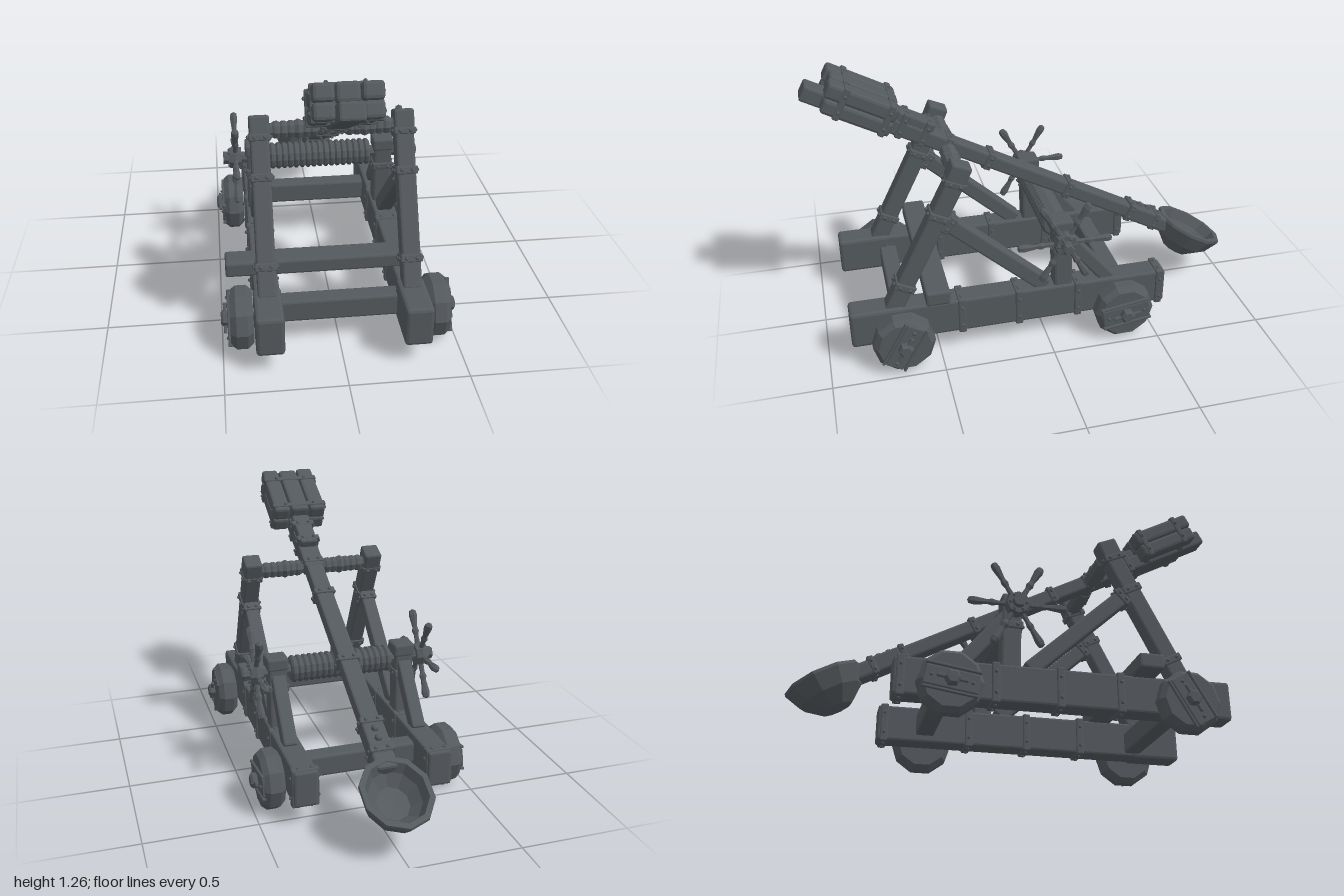
import * as THREE from 'three';
import { RoundedBoxGeometry } from 'three/addons/geometries/RoundedBoxGeometry.js';

const darkWood = new THREE.MeshStandardMaterial({ color: 0x54595d, flatShading: true });

function add(parent, name, geo, x = 0, y = 0, z = 0) {
  const m = new THREE.Mesh(geo, darkWood);
  m.name = name;
  m.position.set(x, y, z);
  parent.add(m);
  return m;
}

function group(parent, name, x = 0, y = 0, z = 0) {
  const g = new THREE.Group();
  g.name = name;
  g.position.set(x, y, z);
  parent.add(g);
  return g;
}

// Box with chamfered edges
function box(parent, name, w, h, d, x, y, z, bevel = 0.01) {
  return add(parent, name, new RoundedBoxGeometry(w, h, d, 1, bevel), x, y, z);
}

// Riveted strap around a timber that runs along z
const rivetGeo = new THREE.SphereGeometry(0.009, 6, 4);
function strap(parent, w, h, z, y = 0, width = 0.035) {
  const g = group(parent, 'strap', 0, y, z);
  box(g, 'strapBand', w + 0.014, h + 0.014, width, 0, 0, 0, 0.006);
  for (const s of [-1, 1]) for (const k of [-0.28, 0.28]) {
    add(g, 'rivet', rivetGeo, s * (w / 2 + 0.008), k * h, 0);
    add(g, 'rivet', rivetGeo, k * w, s * (h / 2 + 0.008), 0);
  }
}

// Timber between two [z, y] points, with straps at fractions of its length
function timber(parent, name, x, a, b, w, h, straps = []) {
  const dz = b[0] - a[0], dy = b[1] - a[1], len = Math.hypot(dz, dy);
  const g = group(parent, name, x, (a[1] + b[1]) / 2, (a[0] + b[0]) / 2);
  g.rotation.x = -Math.atan2(dy, dz);
  box(g, name + 'Beam', w, h, len, 0, 0, 0);
  for (const t of straps) strap(g, w, h, (t - 0.5) * len);
  return g;
}

// Turned part lying along x; profile is [radius, x] pairs
function turned(parent, name, profile, sides, x, y, z) {
  const geo = new THREE.LatheGeometry(profile.map(p => new THREE.Vector2(p[0], p[1])), sides);
  geo.rotateZ(-Math.PI / 2);
  return add(parent, name, geo, x, y, z);
}

// Rope-wound roller profile
function coil(half, rings, r, dip) {
  const p = [[0, -half]], step = 2 * half / rings;
  for (let i = 0; i < rings; i++) {
    const x = -half + i * step;
    p.push([r - dip, x], [r, x + step * 0.3], [r, x + step * 0.7]);
  }
  p.push([r - dip, half], [0, half]);
  return p;
}

function wheel(parent, name, side, z, tilt) {
  const g = group(parent, name, side * 0.418, 0.14, z);
  if (side < 0) g.rotation.y = Math.PI;
  turned(g, 'wheelDisc', [[0, -0.05], [0.115, -0.05], [0.139, -0.025], [0.139, 0.022], [0.118, 0.047], [0, 0.047]], 10, 0, 0, 0);
  const face = group(g, 'wheelFace', 0.047, 0, 0);
  face.rotation.x = tilt * side;
  box(face, 'wheelPlank', 0.014, 0.085, 0.225, 0, 0, 0, 0.005);
  for (const s of [-1, 1]) {
    box(face, 'wheelBatten', 0.018, 0.012, 0.23, 0.002, s * 0.052, 0, 0.004);
    add(face, 'rivet', rivetGeo, 0.009, 0, s * 0.085);
  }
  turned(g, 'hubNut', [[0, 0], [0.034, 0], [0.034, 0.03], [0.025, 0.04], [0, 0.04]], 6, 0.045, 0, 0);
  box(face, 'lynchPin', 0.015, 0.016, 0.13, 0.02, 0, 0, 0.004);
}

function handleWheel(parent, side) {
  const g = group(parent, 'handleWheel', side * 0.402, 0.53, -0.068);
  turned(g, 'handleHub', [[0, -0.028], [0.05, -0.028], [0.058, 0], [0.05, 0.028], [0, 0.028]], 8, 0, 0, 0);
  const profile = [[0, 0.02], [0.014, 0.02], [0.011, 0.09], [0.017, 0.11], [0.012, 0.13], [0.02, 0.19], [0.016, 0.21], [0, 0.218]];
  const spokeGeo = new THREE.LatheGeometry(profile.map(p => new THREE.Vector2(...p)), 6);
  for (let i = 0; i < 6; i++) {
    const a = Math.PI / 2 + i * Math.PI / 3;
    add(g, 'spoke', spokeGeo).rotation.x = a;
    add(g, 'rivet', rivetGeo, side * 0.028, 0.036 * Math.cos(a), 0.036 * Math.sin(a));
  }
  turned(g, 'handleNut', [[0, -0.02], [0.03, -0.02], [0.03, 0.02], [0.022, 0.03], [0, 0.03]], 6, side * 0.038, 0, 0);
}

export function createModel() {
  const model = new THREE.Group();
  model.name = 'catapult';

  // Mirrored side frames
  for (const side of [-1, 1]) {
    const f = group(model, side > 0 ? 'leftFrame' : 'rightFrame');
    const x = side * 0.306;
    timber(f, 'baseRail', x, [-0.575, 0.186], [0.895, 0.186], 0.108, 0.166, [0.02, 0.29, 0.48, 0.66]);
    box(f, 'railFrontEnd', 0.118, 0.176, 0.24, x, 0.186, 0.775, 0.014);
    timber(f, 'frontPost', x, [0.70, 0.25], [0.375, 0.90], 0.08, 0.082, [0.18, 0.69]);
    const cap = timber(f, 'postCap', x, [0.405, 0.84], [0.365, 0.935], 0.086, 0.092);
    strap(cap, 0.08, 0.084, -0.04, 0, 0.03);
    timber(f, 'longBrace', x, [0.465, 0.685], [0.0, 0.265], 0.07, 0.072, [0.07]);
    timber(f, 'winchPost', x, [-0.082, 0.25], [-0.075, 0.59], 0.085, 0.085, [0.62]);
    box(f, 'winchPostCap', 0.1, 0.06, 0.1, x, 0.575, -0.072);
    timber(f, 'shortBrace', x, [-0.09, 0.51], [-0.305, 0.255], 0.066, 0.066);
    wheel(f, 'frontWheel', side, 0.67, 1.05);
    wheel(f, 'rearWheel', side, -0.35, 0.15);
    handleWheel(f, side);

    // Rope-wound half of the upper crossbar
    const rope = turned(f, 'crossbarRope', coil(0.09, 6, 0.04, 0.006), 8, side * 0.155, 0.873, 0.383);
    rope.scale.x = 1.06;
    turned(f, 'crossbarKnot', [[0, -0.02], [0.036, -0.02], [0.046, 0], [0.036, 0.02], [0, 0.02]], 8, side * 0.14, 0.873, 0.383);
  }

  // Members that tie the two sides together
  box(model, 'frontAxleBeam', 0.56, 0.1, 0.08, 0, 0.168, 0.66);
  box(model, 'rearAxleBeam', 0.56, 0.1, 0.085, 0, 0.185, -0.355);
  box(model, 'crossBeam', 0.84, 0.068, 0.11, -0.055, 0.297, 0.5);
  turned(model, 'upperCrossbar', [[0, -0.29], [0.03, -0.29], [0.03, 0.29], [0, 0.29]], 8, 0, 0.873, 0.383);

  // Winch
  turned(model, 'winchAxle', [[0, -0.455], [0.028, -0.455], [0.028, 0.455], [0, 0.455]], 8, 0, 0.53, -0.068);
  turned(model, 'winchDrum', coil(0.24, 17, 0.063, 0.009), 12, 0, 0.53, -0.068);

  // Throwing arm; local z runs up the arm towards the weight
  const arm = group(model, 'throwingArm', 0, 0.682, 0);
  arm.rotation.x = -Math.atan(0.533);
  box(arm, 'armUpper', 0.1, 0.072, 0.72, 0, 0, 0.753);
  box(arm, 'armLower', 0.086, 0.066, 1.2, 0, 0, -0.17);
  for (const z of [0.43, 0.215, -0.21]) strap(arm, 0.088, 0.068, z);

  // Spoon collar and bowl
  box(arm, 'spoonCollar', 0.1, 0.078, 0.16, 0, 0, -0.66);
  for (const z of [-0.57, -0.72]) strap(arm, 0.094, 0.074, z, 0, 0.03);
  for (const z of [-0.62, -0.67]) add(arm, 'collarStud', new THREE.SphereGeometry(0.018, 6, 4), 0, 0.04, z);
  box(arm, 'spoonNeck', 0.1, 0.075, 0.1, 0, -0.003, -0.765, 0.014);
  const bowlProfile = [[0, -0.15], [0.06, -0.148], [0.125, -0.085], [0.155, -0.012], [0.153, 0.002],
    [0.13, 0.002], [0.112, -0.045], [0.07, -0.09], [0, -0.1]];
  const bowl = add(arm, 'spoonBowl', new THREE.LatheGeometry(bowlProfile.map(p => new THREE.Vector2(...p)), 10), 0, 0.036, -0.936);
  bowl.scale.set(1.02, 1, 1.15);

  // Bundled timbers forming the counterweight
  const weight = group(arm, 'counterweight');
  for (const s of [-1, 1]) {
    box(weight, 'upperSideLog', 0.083, 0.07, 0.32, s * 0.092, 0.08, 0.88, 0.014);
    box(weight, 'lowerSideLog', 0.083, 0.068, 0.31, s * 0.092, 0.01, 0.875, 0.014);
  }
  box(weight, 'upperMiddleLog', 0.092, 0.078, 0.31, 0, 0.078, 0.875, 0.014);
  for (const z of [0.755, 0.96]) strap(weight, 0.262, 0.136, z, 0.046, 0.028);

  // Strapped block behind the weight
  box(arm, 'weightStop', 0.088, 0.05, 0.2, 0, 0.05, 0.62);
  for (const z of [0.55, 0.66]) strap(arm, 0.1, 0.105, z, 0.018, 0.03);

  return model;
}
